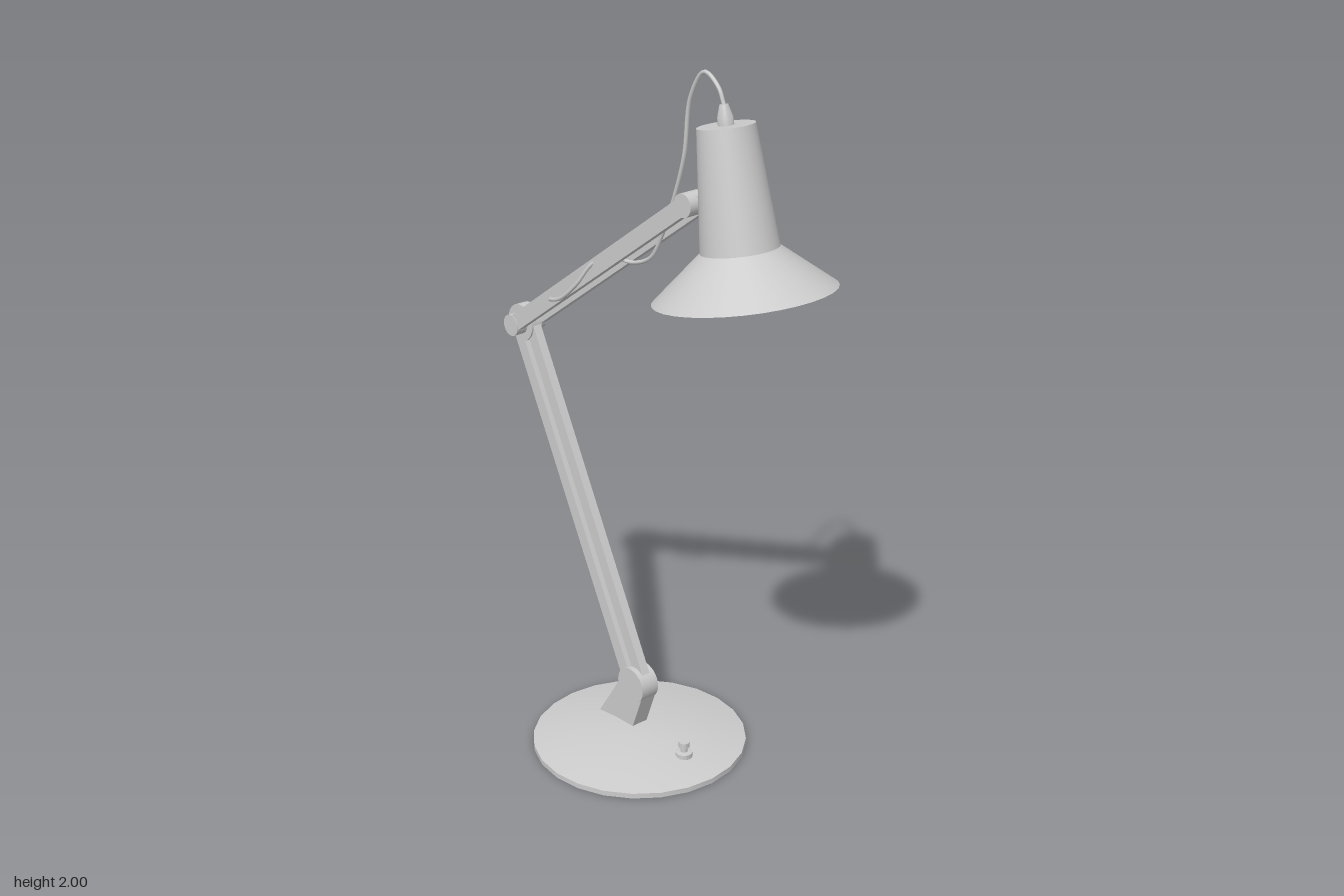
import * as THREE from 'three';
import { toCreasedNormals } from 'three/addons/utils/BufferGeometryUtils.js';

const grey = new THREE.MeshStandardMaterial({ color: 0xcccccc });
const greyThin = new THREE.MeshStandardMaterial({ color: 0xcccccc, side: THREE.DoubleSide });

const v2 = (list) => list.map(([x, y]) => new THREE.Vector2(x, y));

function add(parent, name, geometry, material = grey) {
  const mesh = new THREE.Mesh(geometry, material);
  mesh.name = name;
  parent.add(mesh);
  return mesh;
}

// Turned part with crisp edges where the profile bends sharply
function turned(parent, name, profile, segments = 32, material = grey) {
  return add(parent, name, toCreasedNormals(new THREE.LatheGeometry(v2(profile), segments), 0.5), material);
}

// Round pivot lying along z
function pivot(parent, name, [x, y], radius, width) {
  const mesh = add(parent, name, new THREE.CylinderGeometry(radius, radius, width, 28));
  mesh.rotation.x = Math.PI / 2;
  mesh.position.set(x, y, 0);
}

// Rectangular bar between two points, shifted sideways and in z
function bar(parent, name, a, b, height, depth, side, z) {
  const dx = b[0] - a[0], dy = b[1] - a[1], length = Math.hypot(dx, dy);
  const mesh = add(parent, name, new THREE.BoxGeometry(length, height, depth));
  mesh.rotation.z = Math.atan2(dy, dx);
  mesh.position.set((a[0] + b[0]) / 2 - (dy / length) * side, (a[1] + b[1]) / 2 + (dx / length) * side, z);
}

export function createModel() {
  const lamp = new THREE.Group();
  lamp.name = 'deskLamp';
  const foot = [-0.053, 0.185], elbow = [-0.532, 1.144], wrist = [0.177, 1.662];

  // Domed base
  const base = turned(lamp, 'base',
    [[0, 0], [0.305, 0], [0.305, 0.015], [0.25, 0.027], [0.17, 0.041], [0.08, 0.051], [0, 0.054]], 24);
  base.position.x = -0.047;

  // Push switch on the base
  const button = turned(lamp, 'switch',
    [[0.024, 0], [0.024, 0.018], [0.01, 0.02], [0.01, 0.032], [0.015, 0.034], [0.015, 0.05], [0, 0.05]], 16);
  button.position.set(0.142, 0.03, 0);

  // Slanted bracket carrying the lower pivot
  const bracketShape = new THREE.Shape(v2([[-0.2, 0.03], [-0.055, 0.03], [-0.008, 0.16], [-0.053, 0.2], [-0.104, 0.18]]));
  const bracket = add(lamp, 'bracket', new THREE.ExtrudeGeometry(bracketShape, { depth: 0.052, bevelEnabled: false }));
  bracket.position.z = -0.026;
  pivot(lamp, 'lowerPivot', foot, 0.053, 0.058);

  // Lower arm: two bars side by side in the same plane
  for (const side of [-0.03, 0.03]) bar(lamp, 'lowerArmBar', foot, elbow, 0.037, 0.026, side, 0);

  // Elbow: wide disc with a pin through it
  pivot(lamp, 'elbowDisc', elbow, 0.053, 0.036);
  pivot(lamp, 'elbowPin', elbow, 0.031, 0.104);

  // Upper arm: two bars straddling the elbow
  for (const z of [-0.039, 0.039]) bar(lamp, 'upperArmBar', elbow, wrist, 0.046, 0.022, 0, z);

  // Wrist pivot and the stub that holds the shade
  pivot(lamp, 'wristPivot', wrist, 0.031, 0.104);
  bar(lamp, 'shadeStub', wrist, [0.265, 1.676], 0.042, 0.045, 0, 0);

  // Tilted lamp head, local origin at the rim centre
  const head = new THREE.Group();
  head.name = 'head';
  head.position.set(0.352, 1.466, 0);
  head.rotation.z = 0.184;
  lamp.add(head);
  turned(head, 'shade', [[0.234, 0], [0.1, 0.113], [0.073, 0.419], [0, 0.419]], 32, greyThin);
  const gland = turned(head, 'cableGland', [[0.02, 0], [0.02, 0.022], [0.011, 0.052], [0, 0.052]], 16);
  gland.position.y = 0.417;

  // Bulb and socket
  turned(head, 'bulb', [[0, -0.032], [0.03, -0.026], [0.056, -0.008], [0.073, 0.022], [0.075, 0.045],
    [0.068, 0.075], [0.05, 0.107], [0.038, 0.14], [0.035, 0.18], [0, 0.18]], 28);
  turned(head, 'socket', [[0, 0.17], [0.043, 0.17], [0.043, 0.3], [0, 0.3]], 24);

  // Loose cable from the gland down to the upper arm
  const path = [[0.267, 1.925, 0], [0.247, 1.965, 0], [0.197, 1.994, 0], [0.147, 1.92, 0], [0.124, 1.76, 0],
    [0.05, 1.555, 0], [0, 1.47, 0], [-0.07, 1.44, 0.005], [-0.14, 1.448, 0.025], [-0.18, 1.415, 0.05],
    [-0.22, 1.354, 0.068], [-0.285, 1.297, 0.07], [-0.345, 1.275, 0.058], [-0.355, 1.272, 0.04]]
    .map((p) => new THREE.Vector3(...p));
  add(lamp, 'cable', new THREE.TubeGeometry(new THREE.CatmullRomCurve3(path), 90, 0.0055, 8), greyThin);

  return lamp;
}
